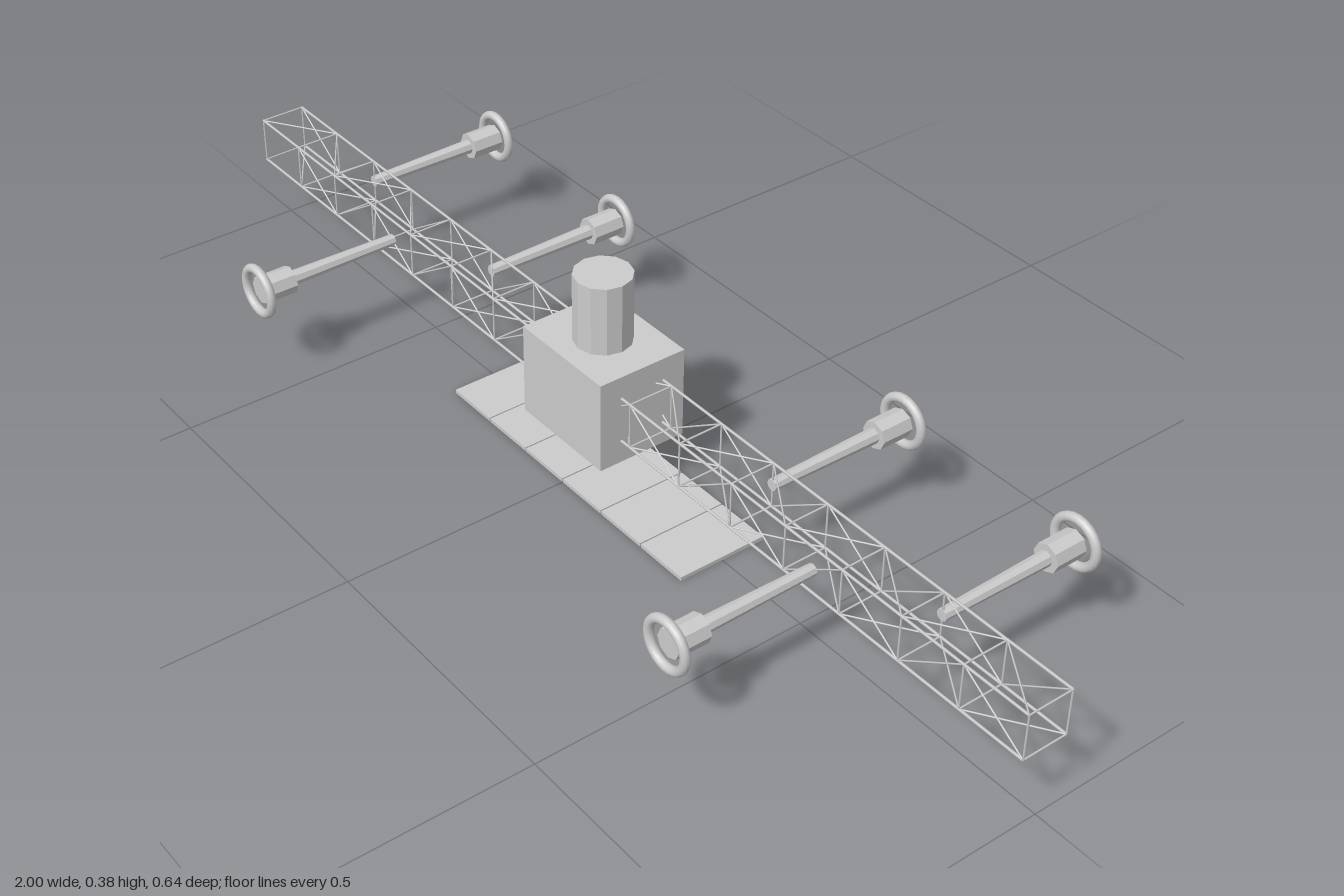
import * as THREE from 'three';
import { mergeGeometries } from 'three/addons/utils/BufferGeometryUtils.js';

const CY = 0.171;   // height of the truss axis
const H = 0.0417;   // half width of the truss
const BAYS = 16;
const flat = new THREE.MeshStandardMaterial({ color: 0xcccccc, flatShading: true });
const smooth = new THREE.MeshStandardMaterial({ color: 0xcccccc });

function add(parent, name, geometry, material, x = 0, y = 0, z = 0) {
  const mesh = new THREE.Mesh(geometry, material);
  mesh.name = name;
  mesh.position.set(x, y, z);
  parent.add(mesh);
  return mesh;
}

// Thin round bar between two points
function bar(a, b, r) {
  const dir = b.clone().sub(a);
  const g = new THREE.CylinderGeometry(r, r, dir.length(), 6);
  g.applyQuaternion(new THREE.Quaternion().setFromUnitVectors(new THREE.Vector3(0, 1, 0), dir.normalize()));
  const mid = a.clone().add(b).multiplyScalar(0.5);
  return g.translate(mid.x, mid.y, mid.z);
}

// Square lattice boom: four chords, square frames and one diagonal per bay face
function buildTruss(root) {
  const corners = [[H, H], [H, -H], [-H, -H], [-H, H]];
  const point = (i, c) => new THREE.Vector3(-1 + (2 * i) / BAYS, CY + corners[c % 4][0], corners[c % 4][1]);
  const chords = [], frames = [], diagonals = [];
  for (let c = 0; c < 4; c++) {
    chords.push(bar(point(0, c), point(BAYS, c), 0.0025));
    for (let i = 0; i <= BAYS; i++) {
      frames.push(bar(point(i, c), point(i, c + 1), 0.0017));
      if (i === BAYS) continue;
      const flip = i % 2;
      diagonals.push(bar(point(i, c + flip), point(i + 1, c + 1 - flip), 0.0015));
    }
  }
  const truss = new THREE.Group();
  truss.name = 'truss';
  add(truss, 'chords', mergeGeometries(chords), smooth);
  add(truss, 'frames', mergeGeometries(frames), smooth);
  add(truss, 'diagonals', mergeGeometries(diagonals), smooth);
  root.add(truss);
}

// Side arm with a collar and a ring at its end, built along +z
function buildArm() {
  const arm = new THREE.Group();
  arm.name = 'dockingArm';
  const rod = new THREE.CylinderGeometry(0.0135, 0.0104, 0.21, 8).rotateX(Math.PI / 2);
  const collar = new THREE.CylinderGeometry(0.025, 0.025, 0.06, 8).rotateX(Math.PI / 2);
  add(arm, 'rod', rod, flat, 0, 0, 0.145);
  add(arm, 'collar', collar, flat, 0, 0, 0.28);
  add(arm, 'ring', new THREE.TorusGeometry(0.0417, 0.0083, 10, 24), smooth, 0, 0, 0.3125);
  return arm;
}

export function createModel() {
  const root = new THREE.Group();
  root.name = 'trussStation';

  buildTruss(root);

  // Central hub with a drum on top
  add(root, 'hub', new THREE.BoxGeometry(0.208, 0.167, 0.167), flat, 0, CY, 0);
  add(root, 'drum', new THREE.CylinderGeometry(0.05, 0.05, 0.125, 12), flat, 0, 0.317, 0);

  // Row of flat panels below the hub
  const panels = new THREE.Group();
  panels.name = 'panels';
  for (let i = 0; i < 6; i++) {
    add(panels, 'panel', new THREE.BoxGeometry(0.102, 0.007, 0.167), flat, (i - 2.5) * 0.1045, 0.0035, 0);
  }
  root.add(panels);

  // Arms: two at the front, four at the back
  for (const side of [-1, 1]) {
    for (const [x, facing] of [[0.375, -1], [0.5625, 1], [0.75, -1]]) {
      const arm = buildArm();
      arm.position.set(side * x, CY, 0);
      if (facing < 0) arm.rotation.y = Math.PI;
      root.add(arm);
    }
  }
  return root;
}
